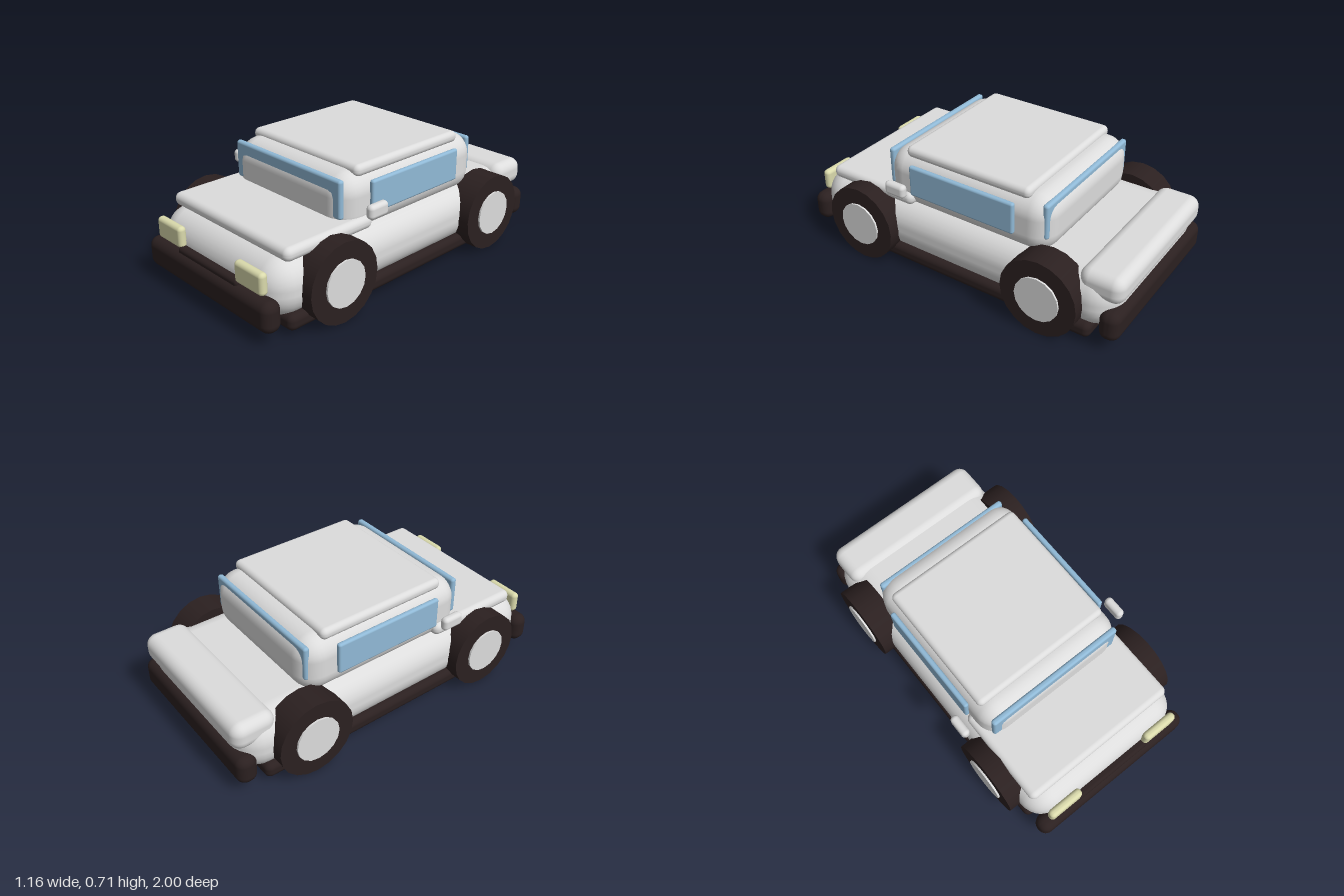
import * as THREE from 'three';
import { RoundedBoxGeometry } from 'three/addons/geometries/RoundedBoxGeometry.js';

function paint(name, color) {
  const m = new THREE.MeshStandardMaterial({ color });
  m.name = name;
  return m;
}

export function createModel() {
  const car = new THREE.Group();
  car.name = 'car';
  const silver = paint('silver paint', 0xdcdcdc);
  const rubber = paint('black rubber', 0x2b2020);
  const glass = paint('blue glass', 0x90b9d6);
  const lamp = paint('yellow lamp', 0xdadaac);

  // Soft-edged block given by its extents on each axis
  function block(name, mat, [x0, x1], [y0, y1], [z0, z1], radius, segments = 4) {
    const geo = new RoundedBoxGeometry(x1 - x0, y1 - y0, z1 - z0, segments, radius);
    const mesh = new THREE.Mesh(geo, mat);
    mesh.name = name;
    mesh.position.set((x0 + x1) / 2, (y0 + y1) / 2, (z0 + z1) / 2);
    car.add(mesh);
  }

  // Shell
  block('chassis', rubber, [-0.505, 0.505], [0.03, 0.12], [-0.85, 0.855], 0.035);
  block('body', silver, [-0.505, 0.505], [0.07, 0.4], [-0.965, 0.935], 0.15);
  block('cabin', silver, [-0.445, 0.445], [0.345, 0.68], [-0.567, 0.46], 0.12);
  block('roof', silver, [-0.412, 0.412], [0.645, 0.71], [-0.437, 0.336], 0.03);
  block('hood', silver, [-0.47, 0.47], [0.38, 0.455], [0.27, 0.84], 0.035);
  block('trunk', silver, [-0.475, 0.475], [0.265, 0.42], [-0.995, -0.75], 0.06);

  // Bumpers and grille
  block('frontBumper', rubber, [-0.505, 0.505], [0.067, 0.237], [0.893, 1], 0.05);
  block('rearBumper', rubber, [-0.505, 0.505], [0.067, 0.237], [-1, -0.887], 0.05);
  block('grille', rubber, [-0.25, 0.25], [0.13, 0.26], [0.92, 0.975], 0.02);

  // Front and rear glass
  block('windshield', glass, [-0.412, 0.412], [0.455, 0.665], [0.418, 0.453], 0.015);
  block('rearWindow', glass, [-0.412, 0.412], [0.455, 0.655], [-0.547, -0.513], 0.015);

  for (const [side, s] of [['left', 1], ['right', -1]]) {
    const span = (a, b) => (s > 0 ? [a, b] : [-b, -a]);
    block(side + 'Window', glass, span(0.437, 0.467), [0.455, 0.635], [-0.377, 0.277], 0.013);
    block(side + 'Mirror', silver, span(0.507, 0.555), [0.477, 0.553], [0.25, 0.377], 0.022);
    block(side + 'Headlight', lamp, span(0.225, 0.437), [0.245, 0.365], [0.922, 0.97], 0.022);

    // Wheels: a wide tyre with a thin hub cap standing proud
    for (const [end, z] of [['Front', 0.565], ['Rear', -0.59]]) {
      const wheel = new THREE.Group();
      wheel.name = side + end + 'Wheel';
      wheel.position.set(s * 0.492, 0.22, z);
      const tyre = new THREE.Mesh(new THREE.CylinderGeometry(0.22, 0.22, 0.153, 20), rubber);
      tyre.name = 'tyre';
      const hub = new THREE.Mesh(new THREE.CylinderGeometry(0.127, 0.127, 0.06, 16), silver);
      hub.name = 'hub';
      hub.position.x = s * 0.057;
      for (const part of [tyre, hub]) part.rotation.z = Math.PI / 2;
      wheel.add(tyre, hub);
      car.add(wheel);
    }
  }
  return car;
}
